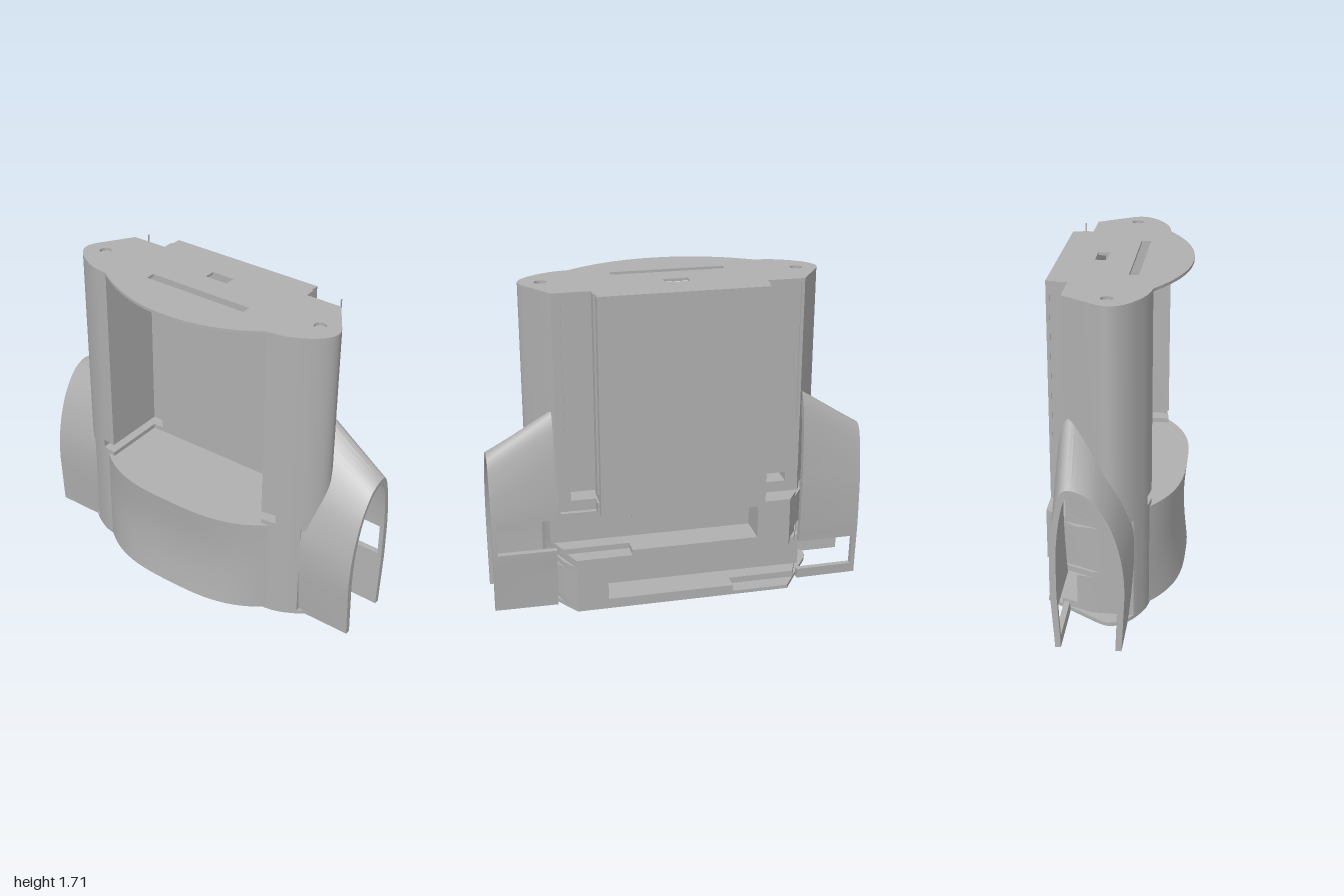
import * as THREE from 'three';
import { toCreasedNormals } from 'three/addons/utils/BufferGeometryUtils.js';

const grey = new THREE.MeshStandardMaterial({ color: 0xb0b0b0 });
grey.name = 'grey plastic';
const greyThin = new THREE.MeshStandardMaterial({ color: 0xb0b0b0, side: THREE.DoubleSide });
greyThin.name = 'grey plastic shell';

const CREASE = 0.5;

// Plan outline: straight tapered corners on +x, rounded tips, flat -x side
const slant = z => Math.min(0.34, 0.05 + (0.767 - Math.abs(z)) / 0.655);
const tip = new THREE.SplineCurve([
  [0.05, 0.767], [0, 0.785], [-0.05, 0.772], [-0.1, 0.73], [-0.14, 0.67], [-0.175, 0.59], [-0.19, 0.5],
].map(p => new THREE.Vector2(...p))).getPoints(24).map(p => [p.x, p.y]);

// +x edge from front to back; each cut is [zMin, zMax, x]
function rightEdge(cuts) {
  const breaks = [0.767, -0.767, 0.577, -0.577];
  for (const [a, b, x] of cuts) {
    const cross = 0.767 - (x - 0.05) * 0.655;
    breaks.push(a, b, cross, -cross);
  }
  breaks.sort((a, b) => b - a);
  const pts = [];
  for (let i = 0; i + 1 < breaks.length; i++) {
    const [z0, z1] = [breaks[i], breaks[i + 1]];
    if (z0 - z1 < 1e-5) continue;
    const mid = (z0 + z1) / 2;
    const limit = Math.min(1, ...cuts.filter(c => mid > c[0] && mid < c[1]).map(c => c[2]));
    for (const z of [z0, z1]) pts.push([Math.min(slant(z), limit), z]);
  }
  return pts;
}

// Whole outline; side lists the points that close the -x side from back to front
function outline(cuts, side = [], clip = 1) {
  const back = tip.map(([x, z]) => [x, -z]);
  return [...rightEdge(cuts), ...back, ...side, ...[...tip].reverse()]
    .map(([x, z]) => [x, Math.max(-clip, Math.min(clip, z))]);
}

const toPath = (pts, Type) => {
  const clean = pts.filter((p, i) => {
    const q = pts[(i + 1) % pts.length];
    return Math.hypot(p[0] - q[0], p[1] - q[1]) > 1e-5;
  });
  return new Type(clean.map(([x, z]) => new THREE.Vector2(x, -z)));
};

const rect = (x0, x1, z0, z1) => [[x0, z0], [x1, z0], [x1, z1], [x0, z1]];
const circle = (cx, cz, r) => Array.from({ length: 24 }, (_, i) => {
  const a = i / 24 * Math.PI * 2;
  return [cx + r * Math.cos(a), cz + r * Math.sin(a)];
});

// Extrude a plan outline upward between two heights
function slab(name, pts, y0, y1, holes = [], steps = 1) {
  const shape = toPath(pts, THREE.Shape);
  shape.holes = holes.map(h => toPath(h, THREE.Path));
  const geo = new THREE.ExtrudeGeometry(shape, { depth: y1 - y0, bevelEnabled: false, steps });
  geo.rotateX(-Math.PI / 2).translate(0, y0, 0);
  const mesh = new THREE.Mesh(toCreasedNormals(geo, CREASE), grey);
  mesh.name = name;
  return mesh;
}

// Hollow arched pod, lofted from the body outward, with a window in its +x wall
const arch = pts => new THREE.SplineCurve(pts.map(p => new THREE.Vector2(...p)));
const archInner = arch([
  [-0.095, 0], [-0.115, 0.2], [-0.125, 0.4], [-0.115, 0.55], [-0.06, 0.75], [0.02, 0.9], [0.11, 1.02], [0.19, 1.09],
  [0.235, 1.04], [0.26, 0.9], [0.27, 0.7], [0.27, 0.51], [0.26, 0.33], [0.252, 0.23], [0.243, 0.055], [0.24, 0]]);
const archOuter = arch([
  [-0.095, 0], [-0.105, 0.2], [-0.11, 0.35], [-0.095, 0.5], [-0.055, 0.65], [0, 0.76], [0.07, 0.84], [0.16, 0.87],
  [0.205, 0.83], [0.235, 0.7], [0.248, 0.6], [0.254, 0.51], [0.255, 0.33], [0.25, 0.23], [0.238, 0.055], [0.235, 0]]);

function pod(name, s, windowSegment) {
  const K = 4, N = 15 * K, zs = [0.665, 0.975, 1], pos = [];
  const w0 = windowSegment * K, w1 = w0 + K;
  const point = (i, j, inside) => {
    const t = (zs[j] - zs[0]) / (1 - zs[0]);
    const p = archInner.getPoint(i / N).lerp(archOuter.getPoint(i / N), t);
    if (inside) {
      p.x = (p.x - 0.075) * 0.82 + 0.075;
      if (p.y > 0.55) p.y -= (p.y - 0.55) * 0.1;
    }
    return [p.x, p.y, s * zs[j]];
  };
  const quad = (a, b, c, d) => {
    for (const v of s > 0 ? [a, b, c, a, c, d] : [a, c, b, a, d, c]) pos.push(...v);
  };
  const rim = (i, j, k, l) => quad(point(i, j), point(k, l), point(k, l, true), point(i, j, true));
  for (let i = 0; i < N; i++) {
    const open = i >= w0 && i < w1;
    for (let j = 0; j < 2; j++) {
      if (open && j === 0) continue;
      quad(point(i, j), point(i, j + 1), point(i + 1, j + 1), point(i + 1, j));
      quad(point(i, j, true), point(i + 1, j, true), point(i + 1, j + 1, true), point(i, j + 1, true));
    }
    rim(i + 1, 2, i, 2);
    rim(i, open ? 1 : 0, i + 1, open ? 1 : 0);
  }
  for (let j = 0; j < 2; j++) {
    rim(0, j + 1, 0, j);
    rim(N, j, N, j + 1);
  }
  rim(w0, 0, w0, 1);
  rim(w1, 1, w1, 0);
  const geo = new THREE.BufferGeometry();
  geo.setAttribute('position', new THREE.Float32BufferAttribute(pos, 3));
  const mesh = new THREE.Mesh(toCreasedNormals(geo, CREASE), greyThin);
  mesh.name = name;
  return mesh;
}

export function createModel() {
  const group = new THREE.Group();
  group.name = 'housing';
  const mirrored = (a, b, x) => [[a, b, x], [-b, -a, x]];
  const rails = [...mirrored(0.45, 0.66, 0.23), ...mirrored(0.45, 0.48, 0.29)]
    .map(c => (c[2] === 0.29 ? [c[0], c[1], 0.23] : c));
  const railNotch = [...mirrored(0.45, 0.66, 0.23), ...mirrored(0.44, 0.48, 0.29)];
  const screws = [circle(0.01, 0.67, 0.032), circle(0.01, -0.67, 0.032)];

  // Base, stacked in layers around the two arm slots
  const wideLow = [-0.74, -0.27, 0.255], slotLow = [-0.74, 0.41, 0.17];
  const wideHigh = [0.28, 0.74, 0.255], slotHigh = [-0.4, 0.74, 0.17];
  const baseLayers = [
    [0.02, 0.055, [wideLow]], [0.055, 0.23, [wideLow, slotLow]], [0.23, 0.26, [wideLow]], [0.26, 0.3, []],
    [0.3, 0.33, [wideHigh]], [0.33, 0.51, [wideHigh, slotHigh]], [0.51, 0.535, [wideHigh]],
  ];
  const recesses = [rect(0.08, 0.14, 0.39, 0.57), rect(0.08, 0.14, -0.57, -0.39)];
  group.add(slab('bottomPlate', outline([]), 0, 0.02, [...screws, ...recesses]));
  for (const [y0, y1, cuts] of baseLayers) group.add(slab('base', outline(cuts, [], 0.7), y0, y1));
  group.add(slab('baseTop', outline(railNotch, [], 0.7), 0.535, 0.57));

  // Tall body, open on -x, with rail notches beside the +x panel
  const recess = [[0.17, -0.5], [0.17, 0.5]];
  const body = outline(railNotch, recess);
  group.add(slab('bodyFoot', body, 0.57, 0.595));
  group.add(slab('body', body, 0.645, 1.695));

  // Pass-through openings at the foot of the panel
  group.add(slab('panelFoot', rect(0.17, 0.34, -0.44, 0.44), 0.595, 0.645));
  for (const s of [1, -1]) {
    const column = [[0.23, 0.58], [0.23, 0.647], ...tip.filter(p => p[1] > 0.58), [-0.177, 0.58]];
    group.add(slab('columnFoot', column.map(([x, z]) => [x, s * z]), 0.595, 0.645));
  }

  // Top plate bowed out over the open side
  const bow = Array.from({ length: 31 }, (_, i) => {
    const z = -0.5 + i / 30;
    return [-0.19 - 0.16 * (1 - Math.abs(z / 0.5) ** 2.1), z];
  });
  const slots = [rect(-0.1, -0.05, -0.3, 0.3), rect(0.09, 0.15, -0.07, 0.06)];
  group.add(slab('topPlate', outline(rails.concat(railNotch), bow), 1.695, 1.71, [...screws, ...slots]));

  // Lower bulge, slightly waisted at mid height
  const bulgePts = Array.from({ length: 41 }, (_, i) => {
    const z = -0.55 + 1.1 * i / 40;
    return [-0.18 - 0.155 * (1 - Math.abs(z / 0.55) ** 3), z];
  });
  const bulge = slab('bulge', bulgePts, 0.01, 0.57, [], 10);
  const p = bulge.geometry.attributes.position;
  for (let i = 0; i < p.count; i++) {
    const waist = 1 - 0.14 * Math.sin(Math.PI * (p.getY(i) - 0.01) / 0.56);
    p.setX(i, -0.18 + (p.getX(i) + 0.18) * waist);
  }
  bulge.geometry = toCreasedNormals(bulge.geometry, CREASE);
  group.add(bulge);

  // End pods and the fine guide wires beside the panel
  group.add(pod('frontPod', 1, 11), pod('backPod', -1, 13));
  for (const s of [1, -1]) {
    const wire = new THREE.Mesh(new THREE.BoxGeometry(0.008, 0.74, 0.004), grey);
    wire.position.set(0.295, 1.34, s * 0.61);
    wire.name = 'guideWire';
    group.add(wire);
  }
  return group;
}
